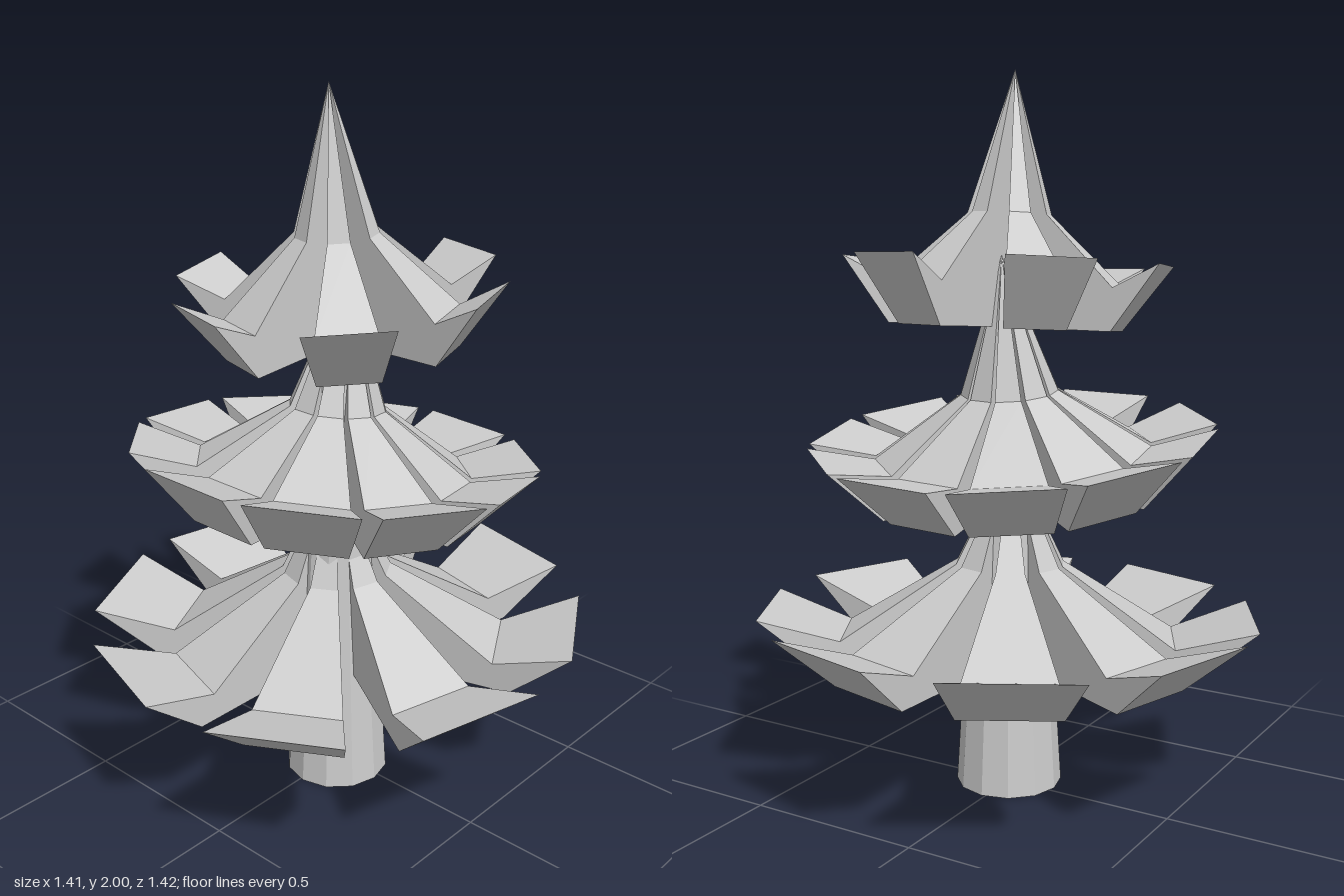
import * as THREE from 'three';

const grey = new THREE.MeshStandardMaterial({ color: 0xcccccc, flatShading: true });
grey.name = 'plainGrey';

const HALF = THREE.MathUtils.degToRad(15); // half the angular width of a branch

// One solid branch: a side profile [radius, height] swept across a single facet
function branchGeometry(profile) {
  const pos = [];
  const at = (i, a) => {
    const [r, y] = profile[i];
    return [r * Math.cos(a), y, r * Math.sin(a)];
  };
  const tri = (...pts) => pts.forEach((p) => pos.push(...p));
  // top slope, upturned tip and underside
  for (let i = 0; i < profile.length - 1; i++) {
    if (profile[i][0] > 0) tri(at(i, -HALF), at(i, HALF), at(i + 1, HALF));
    if (profile[i + 1][0] > 0) tri(at(i, -HALF), at(i + 1, HALF), at(i + 1, -HALF));
  }
  // flat sides
  for (const [i, j, k] of [[4, 3, 2], [4, 2, 1], [4, 1, 5], [5, 1, 0]]) {
    tri(at(i, HALF), at(j, HALF), at(k, HALF));
    tri(at(i, -HALF), at(k, -HALF), at(j, -HALF));
  }
  const g = new THREE.BufferGeometry();
  g.setAttribute('position', new THREE.Float32BufferAttribute(pos, 3));
  g.computeVertexNormals();
  return g;
}

// Profiles run apex, kink, valley, tip, heel, centre of the underside
const tiers = [
  { name: 'lowerTier', count: 8, start: 283, step: 45.7, tilt: 0.03, position: [0, 0.361, 0],
    profile: [[0, 0.6], [0.155, 0.285], [0.48, 0.08], [0.708, 0.15], [0.53, 0], [0, 0]] },
  { name: 'middleTier', count: 10, start: 225.5, step: 35.1, tilt: -0.11, position: [-0.037, 0.85, 0],
    profile: [[0, 0.66], [0.135, 0.283], [0.385, 0.117], [0.57, 0.16], [0.42, 0], [0, 0]] },
  { name: 'upperTier', count: 6, start: 15, step: 60, tilt: 0.075, position: [0.008, 1.31, 0.005],
    profile: [[0, 0.69], [0.115, 0.305], [0.32, 0.115], [0.452, 0.18], [0.32, 0], [0, 0]] },
];

export function createModel() {
  const tree = new THREE.Group();
  tree.name = 'tree';

  // Tapered trunk
  const trunk = new THREE.Mesh(new THREE.CylinderGeometry(0.07, 0.15, 1.3, 12), grey);
  trunk.name = 'trunk';
  trunk.position.set(-0.02, 0.65, 0.01);
  tree.add(trunk);

  // Rings of branches, each ring leaning a little
  for (const { name, count, start, step, tilt, position, profile } of tiers) {
    const tier = new THREE.Group();
    tier.name = name;
    const geometry = branchGeometry(profile);
    for (let i = 0; i < count; i++) {
      const branch = new THREE.Mesh(geometry, grey);
      branch.name = 'branch';
      branch.rotation.y = -THREE.MathUtils.degToRad(start + i * step);
      tier.add(branch);
    }
    tier.position.set(...position);
    tier.rotation.z = tilt;
    tree.add(tier);
  }
  return tree;
}
